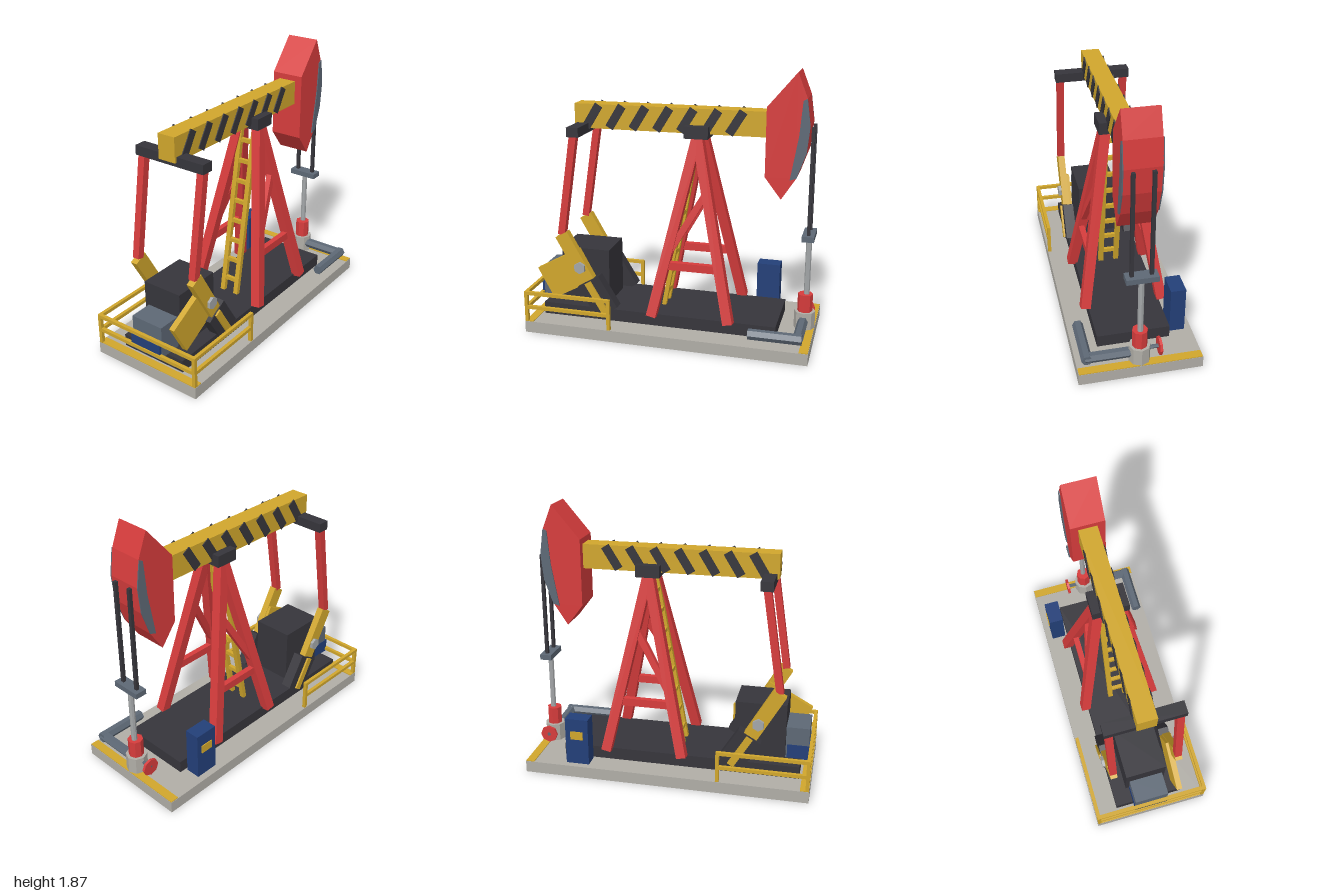
import * as THREE from 'three';

const paint = (name, color) => {
  const m = new THREE.MeshStandardMaterial({ color });
  m.name = name;
  return m;
};

export function createModel() {
  const red = paint('red paint', 0xd63c3c);
  const yellow = paint('yellow paint', 0xd0a62c);
  const dark = paint('dark steel', 0x36353b);
  const concrete = paint('concrete', 0xb0ada6);
  const slate = paint('slate steel', 0x5d6875);
  const blue = paint('blue paint', 0x233f78);
  const bright = paint('bright steel', 0xa3a6a8);

  const root = new THREE.Group();
  root.name = 'pumpjack';

  const add = (name, geo, mat, x = 0, y = 0, z = 0) => {
    const m = new THREE.Mesh(geo, mat);
    m.name = name;
    m.position.set(x, y, z);
    root.add(m);
    return m;
  };
  // Box given by its limits on each axis
  const box = (name, mat, x0, x1, y0, y1, z0, z1) =>
    add(name, new THREE.BoxGeometry(x1 - x0, y1 - y0, z1 - z0), mat,
      (x0 + x1) / 2, (y0 + y1) / 2, (z0 + z1) / 2);
  // Box turned about z
  const tilted = (name, mat, w, h, d, x, y, z, angle) => {
    const m = add(name, new THREE.BoxGeometry(w, h, d), mat, x, y, z);
    m.rotation.z = angle;
    return m;
  };
  // Square bar from a to b; w across, d in depth
  const bar = (name, mat, a, b, w, d = w) => {
    const p = new THREE.Vector3(...a), q = new THREE.Vector3(...b);
    const dir = q.clone().sub(p), len = dir.length();
    dir.normalize();
    const side = new THREE.Vector3().crossVectors(dir, new THREE.Vector3(0, 0, 1)).normalize();
    const depth = new THREE.Vector3().crossVectors(side, dir);
    const m = add(name, new THREE.BoxGeometry(w, len, d), mat);
    m.quaternion.setFromRotationMatrix(new THREE.Matrix4().makeBasis(side, dir, depth));
    m.position.copy(p.add(q).multiplyScalar(0.5));
    return m;
  };
  // Faceted cylinder
  const prism = (name, mat, r, h, sides, x, y, z) => {
    const geo = new THREE.CylinderGeometry(r, r, h, sides).rotateY(Math.PI / 2).toNonIndexed();
    geo.computeVertexNormals();
    return add(name, geo, mat, x, y, z);
  };
  const plate = (pts, depth) => new THREE.ExtrudeGeometry(
    new THREE.Shape(pts.map(p => new THREE.Vector2(...p))), { depth, bevelEnabled: false });

  // Base, painted end strips and skid
  box('base', concrete, -1, 1, 0, 0.083, -0.418, 0.418);
  for (const s of [-1, 1])
    add('endStrip', new THREE.BoxGeometry(0.06, 0.006, 0.83), yellow, s * 0.968, 0.085, 0);
  box('skid', dark, -0.92, 0.76, 0.083, 0.17, -0.25, 0.25);

  // Walking beam with hazard stripes on both sides
  box('walkingBeam', yellow, -0.71, 0.65, 1.43, 1.6, -0.065, 0.065);
  for (const s of [-1, 1])
    for (let i = 0; i < 7; i++)
      tilted('beamStripe', dark, 0.06, 0.18, 0.008, -0.58 + i * 0.168, 1.517, s * 0.068, -0.55);
  box('saddleBearing', dark, 0.085, 0.25, 1.405, 1.487, -0.125, 0.125);
  box('equalizer', dark, -0.695, -0.61, 1.402, 1.467, -0.27, 0.27);

  // Horse head: an arc around the saddle
  const arc = [];
  for (let i = 0; i <= 5; i++) {
    const a = THREE.MathUtils.degToRad(-39.8 + i * 13.7);
    arc.push([0.17 + 0.75 * Math.cos(a), 1.51 + 0.75 * Math.sin(a)]);
  }
  add('horseHead', plate([[0.635, 1.175], ...arc, [0.635, 1.64]], 0.236), red, 0, 0, -0.118);
  const track = [[0.80, 1.165], ...arc.slice(1, 5), [0.868, 1.69], [0.85, 1.46]];
  for (const z of [-0.125, 0.117])
    add('headTrack', plate(track, 0.008), slate, 0, 0, z);

  // A-frame: four legs, with a tie and a brace on each side
  const legZ = y => 0.27 - 0.2 * (y - 0.17) / 1.25;
  for (const s of [-1, 1]) {
    for (const x of [-0.105, 0.44])
      bar('frameLeg', red, [x, 0.165, s * legZ(0.165)], [0.17, 1.42, s * legZ(1.42)], 0.068);
    bar('frameTie', red, [0, 0.53, s * legZ(0.53)], [0.35, 0.53, s * legZ(0.53)], 0.055, 0.04);
    bar('frameBrace', red, [0.01, 0.63, s * legZ(0.63)], [0.24, 1.03, s * legZ(1.03)], 0.045, 0.04);
  }

  // Ladder
  const ladderX = y => -0.07 + 0.22 * (y - 0.17) / 1.23;
  for (const s of [-1, 1])
    bar('ladderRail', yellow, [ladderX(0.17), 0.17, s * 0.057], [ladderX(1.4), 1.4, s * 0.057], 0.03, 0.035);
  for (let i = 0; i < 8; i++) {
    const y = 0.27 + i * 0.146;
    add('ladderRung', new THREE.BoxGeometry(0.025, 0.028, 0.11), yellow, ladderX(y), y, 0);
  }

  // Gearbox, motor and belt guard
  box('gearbox', dark, -0.81, -0.455, 0.17, 0.57, -0.147, 0.147);
  box('motor', slate, -0.97, -0.81, 0.17, 0.4, -0.12, 0.125);
  box('motorBase', blue, -0.99, -0.82, 0.165, 0.27, -0.123, 0.12);
  tilted('beltGuard', yellow, 0.36, 0.25, 0.04, -0.75, 0.397, 0.21, 0.5);

  // Cranks, counterweights and pitman arms
  for (const s of [-1, 1]) {
    tilted('crankArm', yellow, 0.1, 0.38, 0.05, -0.672, 0.535, s * 0.236, 0.52);
    tilted('counterweight', dark, 0.18, 0.26, 0.077, -0.505, 0.257, s * 0.228, 0.55);
    tilted('crankTail', yellow, 0.05, 0.25, 0.016, -0.51, 0.255, s * 0.272, 0.54);
    const hub = prism('crankHub', bright, 0.043, 0.04, 6, -0.63, 0.468, s * 0.262);
    hub.geometry.rotateY(Math.PI / 2);
    hub.rotation.x = Math.PI / 2;
    bar('pitmanArm', red, [-0.765, 0.7, s * 0.235], [-0.655, 1.41, s * 0.235], 0.05);
  }

  // Guard rail around the motor end
  for (const s of [-1, 1]) {
    for (const x of [-0.987, -0.377])
      add('railPost', new THREE.BoxGeometry(0.024, 0.22, 0.024), yellow, x, 0.193, s * 0.403);
    for (const y of [0.295, 0.19])
      add('sideRail', new THREE.BoxGeometry(0.63, 0.024, 0.024), yellow, -0.682, y, s * 0.403);
  }
  for (const y of [0.295, 0.19])
    add('endRail', new THREE.BoxGeometry(0.024, 0.024, 0.82), yellow, -0.987, y, 0);

  // Wellhead, polished rod and bridle
  prism('wellCellar', concrete, 0.073, 0.13, 8, 0.927, 0.145, 0);
  prism('stuffingBox', red, 0.052, 0.127, 8, 0.927, 0.272, 0);
  prism('polishedRod', bright, 0.02, 0.43, 8, 0.935, 0.54, 0);
  box('carrierBar', slate, 0.893, 0.975, 0.742, 0.78, -0.105, 0.105);
  for (const s of [-1, 1])
    add('bridleCable', new THREE.BoxGeometry(0.022, 0.755, 0.024), dark, 0.935, 1.135, s * 0.064);

  // Flow line and valve
  const run = prism('flowLine', slate, 0.037, 0.36, 6, 0.77, 0.15, 0.352);
  run.geometry.rotateY(Math.PI / 2);
  run.rotation.z = Math.PI / 2;
  run.geometry.rotateY(Math.PI);
  const branch = prism('flowBranch', slate, 0.036, 0.33, 6, 0.922, 0.15, 0.2);
  branch.rotation.x = Math.PI / 2;
  const stem = prism('valveStem', slate, 0.014, 0.09, 6, 0.925, 0.17, -0.1);
  stem.rotation.x = Math.PI / 2;
  const wheel = prism('valveWheel', red, 0.062, 0.018, 8, 0.925, 0.17, -0.136);
  wheel.rotation.x = Math.PI / 2;

  // Control cabinet with a label plate
  box('controlCabinet', blue, 0.545, 0.71, 0.083, 0.422, -0.37, -0.265);
  box('cabinetPlate', yellow, 0.583, 0.673, 0.27, 0.33, -0.376, -0.368);

  return root;
}
